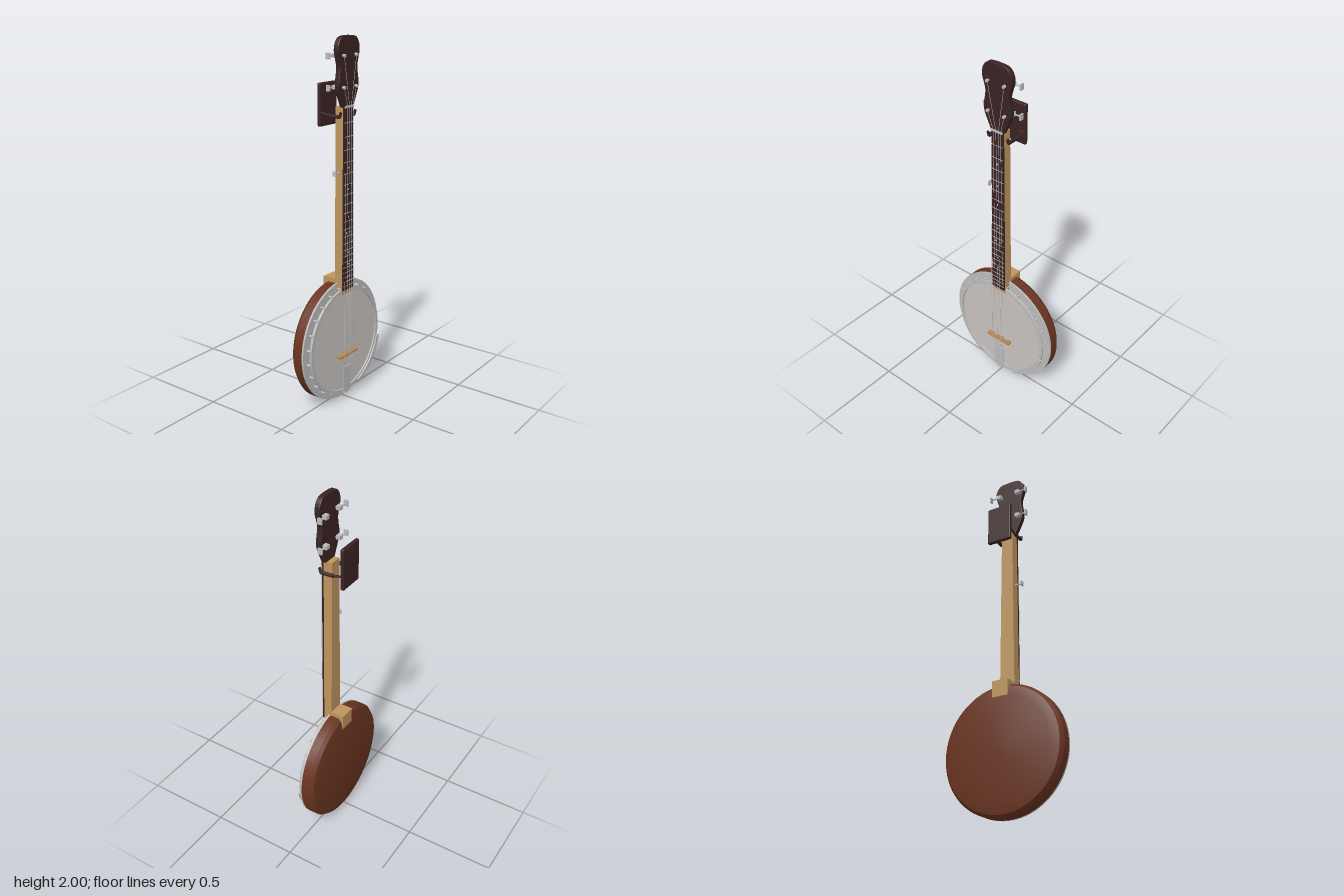
import * as THREE from 'three';
import { toCreasedNormals } from 'three/addons/utils/BufferGeometryUtils.js';
import { RoundedBoxGeometry } from 'three/addons/geometries/RoundedBoxGeometry.js';

const mat = (name, color) => Object.assign(new THREE.MeshStandardMaterial({ color }), { name });

export function createModel() {
  const model = new THREE.Group();
  model.name = 'banjo';
  const mahogany = mat('mahogany', 0x693420);
  const maple = mat('maple', 0xbe955e);
  const ebony = mat('ebony', 0x3a2323);
  const metal = mat('metal', 0xbcbcbc);
  const skin = mat('drumSkin', 0xc9c3bf);
  const bridgeWood = mat('bridgeWood', 0xb5834a);
  const CY = 0.345; // centre height of the pot

  const add = (name, geo, material, x = 0, y = 0, z = 0, parent = model) => {
    const m = new THREE.Mesh(geo, material);
    m.name = name;
    m.position.set(x, y, z);
    parent.add(m);
    return m;
  };
  const box = (name, w, h, d, material, x, y, z) =>
    add(name, new THREE.BoxGeometry(w, h, d), material, x, y, z);
  // solid turned about the z axis from [radius, z] points running back to front
  const turned = (pts) => toCreasedNormals(new THREE.LatheGeometry(
    pts.map(([r, z]) => new THREE.Vector2(r, z)), 72).rotateX(Math.PI / 2), 0.4);
  // cylinder between two points
  const rod = (name, a, b, r, material, sides = 10) => {
    const p = new THREE.Vector3(...a), q = new THREE.Vector3(...b);
    const d = q.clone().sub(p);
    const m = add(name, new THREE.CylinderGeometry(r, r, d.length(), sides), material);
    m.position.copy(p).add(q).multiplyScalar(0.5);
    m.quaternion.setFromUnitVectors(new THREE.Vector3(0, 1, 0), d.normalize());
    return m;
  };
  // box that narrows from half-width w0 at y0 to w1 at y1
  const taperBox = (name, w0, w1, y0, y1, z0, z1, material) => {
    const g = new THREE.BoxGeometry(2, y1 - y0, z1 - z0);
    const p = g.attributes.position;
    for (let i = 0; i < p.count; i++) p.setX(i, p.getX(i) * (p.getY(i) < 0 ? w0 : w1));
    g.computeVertexNormals();
    return add(name, g, material, 0, (y0 + y1) / 2, (z0 + z1) / 2);
  };

  // Pot: resonator, flange, drum and hoop
  add('resonator', turned([[0, -0.065], [0.285, -0.065], [0.33, -0.055], [0.345, -0.035],
    [0.345, 0.015], [0, 0.015]]), mahogany, 0, CY);
  add('flange', turned([[0.28, 0.015], [0.345, 0.015], [0.345, 0.026], [0.28, 0.026]]), metal, 0, CY);
  add('drumHead', turned([[0.292, 0.02], [0.292, 0.045], [0, 0.045]]), skin, 0, CY);
  add('tensionHoop', turned([[0.29, 0.043], [0.31, 0.043], [0.31, 0.054], [0.29, 0.054], [0.29, 0.043]]),
    metal, 0, CY);
  add('toneRing', new THREE.TorusGeometry(0.296, 0.005, 8, 72), metal, 0, CY, 0.037);

  // Bracket hooks around the hoop
  for (let i = 0; i < 24; i++) {
    const a = (i + 0.5) / 24 * Math.PI * 2;
    const c = Math.cos(a), s = Math.sin(a);
    rod('bracketHook', [c * 0.313, CY + s * 0.313, 0.024], [c * 0.313, CY + s * 0.313, 0.05], 0.0065, metal);
  }

  // Curved armrest over the lower left edge of the hoop
  const arm = new THREE.Shape();
  arm.absarc(0, 0, 0.318, -1.22, -0.23, false);
  arm.absarc(0, 0, 0.297, -0.23, -1.22, true);
  add('armrest', new THREE.ExtrudeGeometry(arm, { depth: 0.009, bevelEnabled: false, curveSegments: 24 }),
    metal, 0, CY, 0.056);

  // Neck, heel and fingerboard
  taperBox('neck', 0.044, 0.034, 0.625, 1.645, 0.008, 0.057, maple);
  box('heel', 0.092, 0.09, 0.085, maple, 0, 0.665, -0.0255);
  taperBox('fingerboard', 0.043, 0.037, 0.65, 1.64, 0.057, 0.066, ebony);
  box('nut', 0.072, 0.012, 0.016, metal, 0, 1.645, 0.064);

  const nutY = 1.64, bridgeY = 0.265;
  const fretY = (n) => bridgeY + (nutY - bridgeY) * Math.pow(2, -n / 12);
  for (let n = 1; n <= 21; n++) {
    const t = (fretY(n) - 0.65) / 0.99;
    box('fret', 2 * (0.043 - 0.006 * t), 0.003, 0.002, metal, 0, fretY(n), 0.0665);
  }
  for (const n of [3, 5, 7, 10, 12, 15, 17]) {
    const y = (fretY(n) + fretY(n - 1)) / 2;
    for (const x of n === 12 ? [-0.015, 0.015] : [0]) {
      add('inlayDot', new THREE.CylinderGeometry(0.005, 0.005, 0.001, 12).rotateX(Math.PI / 2), skin, x, y, 0.0664);
    }
  }

  // Peghead with a waisted outline, one side mirrored to the other
  const side = [[0.036, 1.645], [0.058, 1.69], [0.077, 1.735], [0.08, 1.77], [0.072, 1.815],
    [0.069, 1.85], [0.078, 1.885], [0.088, 1.92], [0.085, 1.955], [0.066, 1.985], [0.035, 1.995]];
  const outline = [...side, ...side.slice().reverse().map(([x, y]) => [-x, y])]
    .map(([x, y]) => new THREE.Vector2(x, y));
  const head = new THREE.Shape();
  head.moveTo(outline[0].x, outline[0].y);
  head.splineThru(outline.slice(1));
  add('peghead', new THREE.ExtrudeGeometry(head, {
    depth: 0.022, bevelThickness: 0.004, bevelSize: 0.004, bevelSegments: 2, curveSegments: 60,
  }), ebony, 0, 0, 0.042);

  // Four geared tuners
  for (const s of [-1, 1]) {
    for (const y of [1.745, 1.903]) {
      rod('tunerPost', [s * 0.052, y, 0.03], [s * 0.052, y, 0.083], 0.008, metal, 12);
      box('tunerHousing', 0.028, 0.022, 0.024, metal, s * 0.06, y, 0.024);
      rod('tunerShaft', [s * 0.06, y, 0.022], [s * 0.115, y, 0.022], 0.004, metal);
      box('tunerButton', 0.008, 0.032, 0.024, metal, s * 0.115, y, 0.022);
    }
  }
  // Fifth tuner on the side of the neck
  rod('fifthTunerShaft', [-0.03, 1.3, 0.035], [-0.078, 1.3, 0.035], 0.005, metal);
  box('fifthTunerButton', 0.008, 0.026, 0.022, metal, -0.078, 1.3, 0.035);

  // Bridge and tailpiece
  box('bridge', 0.16, 0.01, 0.022, bridgeWood, 0, bridgeY, 0.063);
  for (const x of [-0.065, 0, 0.065]) box('bridgeFoot', 0.025, 0.01, 0.01, bridgeWood, x, bridgeY, 0.049);
  box('tailpiece', 0.066, 0.15, 0.006, metal, 0, 0.115, 0.058);
  box('tailpieceHook', 0.04, 0.012, 0.04, metal, 0, 0.036, 0.041);

  // Strings
  for (let i = 0; i < 5; i++) {
    const k = (i - 2) / 2;
    const top = i === 0 ? [-0.037, 1.3, 0.072] : [k * 0.028 - 0.004 * (1 - i / 4), 1.645, 0.073];
    rod('string', top, [k * 0.042, bridgeY, 0.075], 0.0012, metal, 5);
    rod('stringTail', [k * 0.042, bridgeY, 0.075], [k * 0.024, 0.185, 0.061], 0.0012, metal, 5);
    if (i > 0) {
      rod('stringHead', top, [k < 0 || i === 2 ? -0.052 : 0.052, i === 2 || i === 3 ? 1.903 : 1.745, 0.076],
        0.0012, metal, 5);
    }
  }

  // Wall hanger behind the peghead: plate and two arms
  add('hangerPlate', new RoundedBoxGeometry(0.146, 0.226, 0.022, 3, 0.008), ebony, 0, 1.648, -0.073);
  for (const s of [-1, 1]) {
    rod('hangerArm', [s * 0.03, 1.605, -0.064], [s * 0.063, 1.605, -0.064], 0.006, ebony);
    rod('hangerArm', [s * 0.063, 1.608, -0.065], [s * 0.063, 1.598, -0.015], 0.006, ebony);
    rod('hangerPad', [s * 0.063, 1.598, -0.02], [s * 0.063, 1.596, 0.055], 0.01, ebony);
    rod('hangerTip', [s * 0.063, 1.594, 0.055], [s * 0.063, 1.62, 0.062], 0.007, ebony);
  }
  return model;
}
